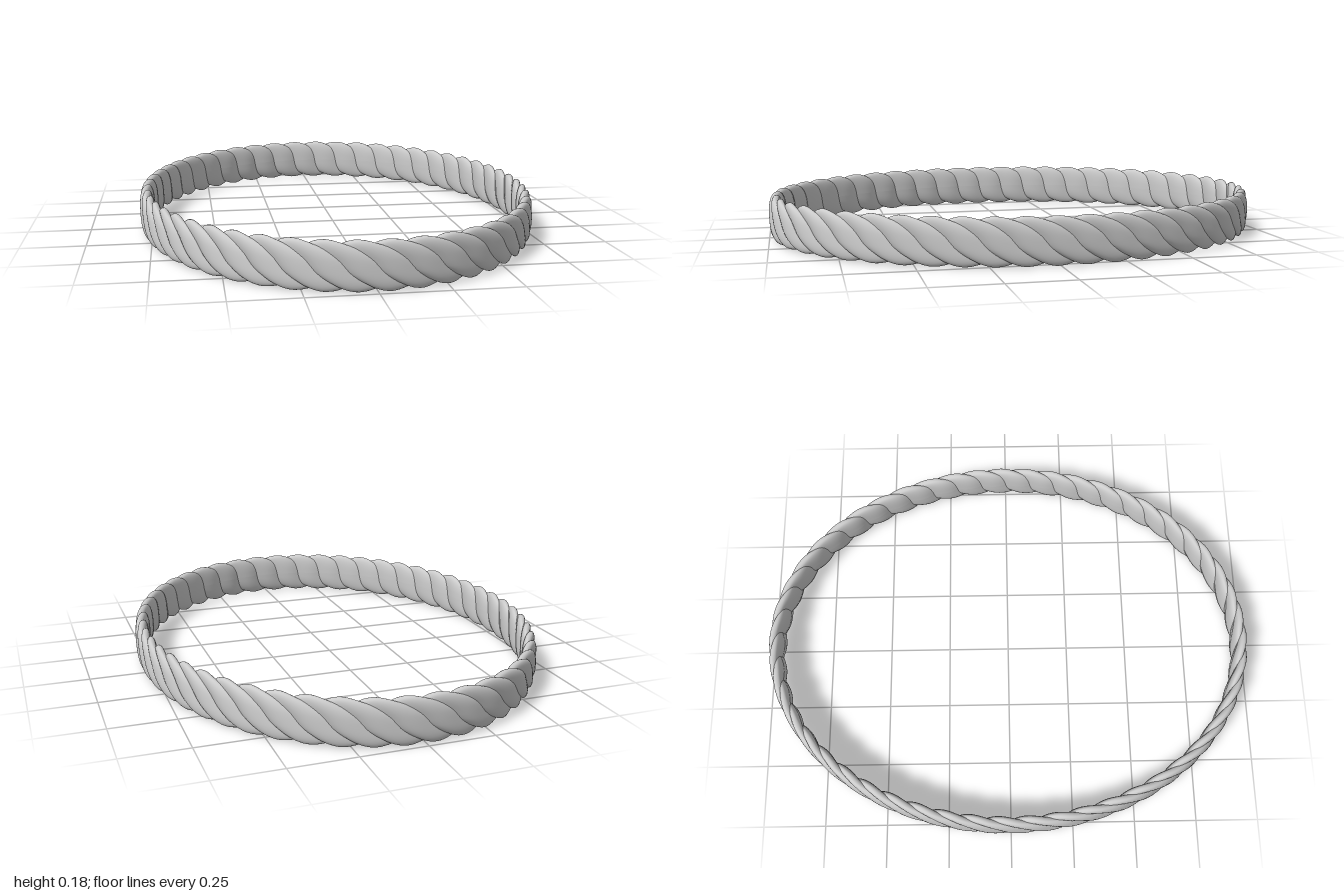
import * as THREE from 'three';
import { mergeGeometries } from 'three/addons/utils/BufferGeometryUtils.js';

const A = 0.771, B = 0.971;          // half axes of the oval centre line
const HALF_H = 0.089, HALF_T = 0.029; // half height and half thickness of the band
const STRANDS = 50, LAPS = 3;         // strands, and strand widths each moves in one turn
const ACROSS = 8, AROUND = 36;

const path = new THREE.EllipseCurve(0, 0, A, B);
path.arcLengthDivisions = 800;

const soften = (c, p) => Math.sign(c) * Math.abs(c) ** p;

// Point on a strand: s runs across it, w once around the band's section
function strandPoint(i, s, w) {
  // slanted on the outer face, steep on the inner face
  const turn = (w - 0.6 * Math.sin(w)) / (2 * Math.PI);
  const t = (i + s - LAPS * turn) / STRANDS;
  const p = path.getPointAt(((t % 1) + 1) % 1);
  const n = new THREE.Vector2(p.x / (A * A), p.y / (B * B)).normalize();
  // rounded ridge, slightly skewed, with a sharp groove on both edges
  const groove = 1 - Math.sin(Math.PI * s ** 1.15) ** 0.8;
  const out = -soften(Math.cos(w), 0.8) * (HALF_T - 0.011 * groove);
  const up = soften(Math.sin(w), 0.8) * (HALF_H - 0.016 * groove);
  return [p.x + n.x * out, HALF_H + up, p.y + n.y * out];
}

// One strand wrapped once around the band
function strandGeometry(i) {
  const positions = [], index = [], row = ACROSS + 1;
  for (let j = 0; j <= AROUND; j++) {
    for (let k = 0; k <= ACROSS; k++) {
      positions.push(...strandPoint(i, k / ACROSS, (j / AROUND) * 2 * Math.PI));
      if (j < AROUND && k < ACROSS) {
        const a = j * row + k;
        index.push(a, a + 1, a + row, a + 1, a + row + 1, a + row);
      }
    }
  }
  const g = new THREE.BufferGeometry();
  g.setAttribute('position', new THREE.Float32BufferAttribute(positions, 3));
  g.setIndex(index);
  g.computeVertexNormals();
  return g;
}

export function createModel() {
  const group = new THREE.Group();
  group.name = 'twistedBangle';
  // All strands together form the closed rope band
  const strands = Array.from({ length: STRANDS }, (_, i) => strandGeometry(i));
  const band = new THREE.Mesh(
    mergeGeometries(strands),
    new THREE.MeshStandardMaterial({ color: 0xcccccc })
  );
  band.name = 'ropeBand';
  group.add(band);
  return group;
}
